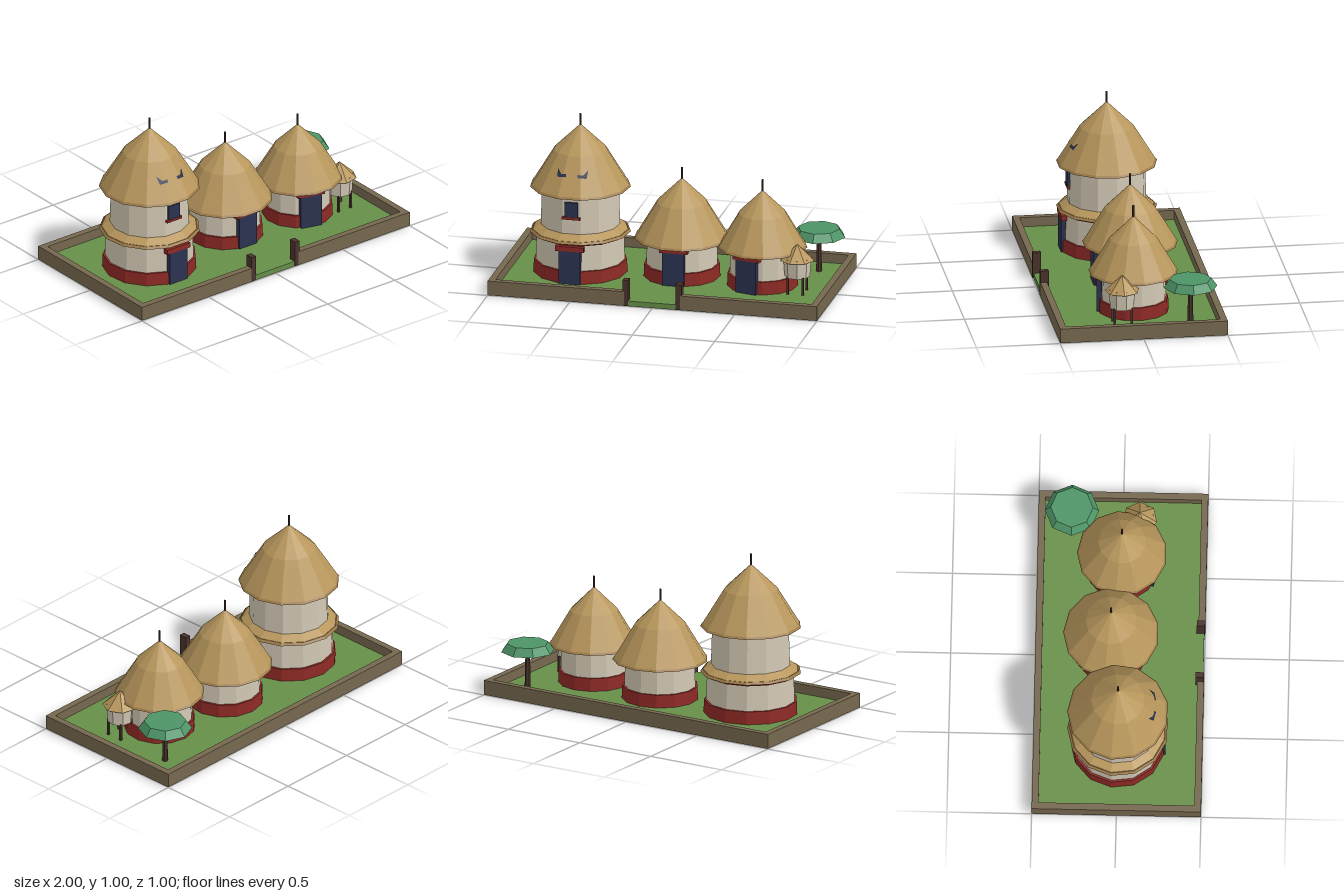
import * as THREE from 'three';

const SIDES = 13;

function material(name, color) {
  const m = new THREE.MeshStandardMaterial({ color, flatShading: true });
  m.name = name;
  return m;
}

export function createModel() {
  const mats = {
    thatch: material('thatch', 0xb8975c),
    rim: material('thatchRim', 0x9c7a48),
    plaster: material('plaster', 0xd2c8b4),
    red: material('redClay', 0x8e2a25),
    navy: material('darkOpening', 0x2b3350),
    grass: material('grass', 0x678f49),
    earth: material('earthWall', 0x76684f),
    wood: material('darkWood', 0x4a332c),
    leaf: material('foliage', 0x4d9468),
  };
  const model = new THREE.Group();
  model.name = 'village';

  const add = (parent, name, geo, mat, x = 0, y = 0, z = 0) => {
    const mesh = new THREE.Mesh(geo, mat);
    mesh.name = name;
    mesh.position.set(x, y, z);
    parent.add(mesh);
    return mesh;
  };
  // box given by its bottom and top heights
  const box = (parent, name, mat, w, y0, y1, d, x, z) =>
    add(parent, name, new THREE.BoxGeometry(w, y1 - y0, d), mat, x, (y0 + y1) / 2, z);
  // faceted drum from y0 to y1
  const drum = (parent, name, mat, r0, r1, y0, y1, n = SIDES, start = Math.PI) =>
    add(parent, name, new THREE.CylinderGeometry(r1, r0, y1 - y0, n, 1, false, start), mat, 0, (y0 + y1) / 2, 0);
  // closed turned shape from [radius, height] pairs, bottom to top
  const lathe = (parent, name, mat, pts, n = SIDES, start = Math.PI) =>
    add(parent, name, new THREE.LatheGeometry(pts.map(p => new THREE.Vector2(...p)), n, start), mat);
  const group = (name, x, z) => {
    const g = new THREE.Group();
    g.name = name;
    g.position.set(x, 0, z);
    model.add(g);
    return g;
  };

  // thatched roof with a kinked slope, an eave rim and a finial
  const roof = (g, r, eave, apex, tip) => {
    const h = apex - eave;
    drum(g, 'roofRim', mats.rim, r, r - 0.013, eave - 0.003, eave + 0.012);
    lathe(g, 'roof', mats.thatch, [[0, eave + 0.005], [r - 0.008, eave + 0.005], [r * 0.53, eave + h * 0.59], [0, apex]]);
    drum(g, 'finial', mats.wood, 0.006, 0.006, apex - 0.02, tip, 6);
  };
  // red footing, plaster wall and red band at the top
  const storey = (g, r, y0, y1, footing) => {
    if (footing) drum(g, 'footing', mats.red, r + 0.013, r + 0.01, y0, 0.11);
    drum(g, 'wall', mats.plaster, r, r - 0.008, y0, y1);
    drum(g, 'wallBand', mats.red, r + 0.003, r + 0.003, y1 - 0.018, y1 + 0.002);
  };
  const door = (g, front, turn = 0) => {
    const d = new THREE.Group();
    d.name = 'doorway';
    d.rotation.y = turn;
    g.add(d);
    box(d, 'door', mats.navy, 0.132, 0.03, 0.235, 0.03, 0, front - 0.015);
    box(d, 'lintel', mats.red, 0.172, 0.235, 0.265, 0.034, 0, front - 0.015);
  };

  // ground and boundary wall with a gate gap
  box(model, 'ground', mats.grass, 1.99, 0, 0.032, 0.99, 0, 0);
  box(model, 'backWall', mats.earth, 2, 0.002, 0.09, 0.04, 0, -0.48);
  for (const s of [-1, 1]) {
    box(model, 'sideWall', mats.earth, 0.04, 0.002, 0.09, 0.92, s * 0.98, 0);
    box(model, 'frontWall', mats.earth, 0.83, 0.002, 0.09, 0.04, s * 0.585, 0.48);
    box(model, 'gatePost', mats.wood, 0.034, 0.002, 0.16, 0.05, s * 0.162 - 0.002, 0.475);
  }

  // two-storey tower hut
  const tower = group('towerHut', -0.556, 0);
  storey(tower, 0.267, 0.03, 0.285, true);
  drum(tower, 'skirtRim', mats.rim, 0.3, 0.287, 0.282, 0.296);
  drum(tower, 'skirtRoof', mats.thatch, 0.293, 0.232, 0.289, 0.332);
  storey(tower, 0.237, 0.3, 0.565, false);
  roof(tower, 0.3, 0.565, 0.942, 1.005);
  door(tower, 0.281);
  box(tower, 'window', mats.navy, 0.08, 0.435, 0.525, 0.03, 0, 0.225);
  box(tower, 'windowSill', mats.red, 0.11, 0.42, 0.435, 0.034, 0, 0.226);

  // slanted eye plates following the roof slope
  const eyeMat = mats.navy.clone();
  eyeMat.side = THREE.DoubleSide;
  for (const s of [-1, 1]) {
    const shape = new THREE.Shape([[0.092, 0.717], [0.088, 0.674], [0.035, 0.679], [0.035, 0.695], [0.066, 0.692]]
      .map(p => new THREE.Vector2(...p)));
    const geo = new THREE.ShapeGeometry(shape);
    const p = geo.attributes.position;
    for (let i = 0; i < p.count; i++) {
      const x = p.getX(i), y = p.getY(i);
      p.setXYZ(i, s * x, y, 0.203 + (0.715 - y) * 0.645 - Math.max(0, x - 0.04) * 0.35);
    }
    geo.computeVertexNormals();
    add(tower, 'roofEye', geo, eyeMat);
  }

  // middle hut
  const middle = group('middleHut', 0.048, -0.053);
  storey(middle, 0.215, 0.03, 0.28, true);
  roof(middle, 0.284, 0.272, 0.636, 0.7);
  door(middle, 0.225);

  // small hut, door turned slightly
  const small = group('smallHut', 0.55, 0);
  storey(small, 0.198, 0.03, 0.28, true);
  roof(small, 0.266, 0.272, 0.617, 0.682);
  door(small, 0.211, -0.26);

  // raised granary on four legs
  const granary = group('granary', 0.785, 0.1);
  drum(granary, 'granaryBody', mats.plaster, 0.075, 0.083, 0.133, 0.25, 8, 0.2);
  lathe(granary, 'granaryRoof', mats.thatch, [[0, 0.235], [0.104, 0.235], [0, 0.332]], 7, Math.PI / 2);
  for (const sx of [-1, 1]) for (const sz of [-1, 1])
    box(granary, 'granaryLeg', mats.wood, 0.013, 0.03, 0.14, 0.013, sx * 0.045, sz * 0.05);

  // flat-topped tree
  const tree = group('tree', 0.82, -0.302);
  drum(tree, 'trunk', mats.wood, 0.018, 0.013, 0.03, 0.27, 6);
  drum(tree, 'canopy', mats.leaf, 0.16, 0.125, 0.253, 0.302, 8);

  return model;
}
